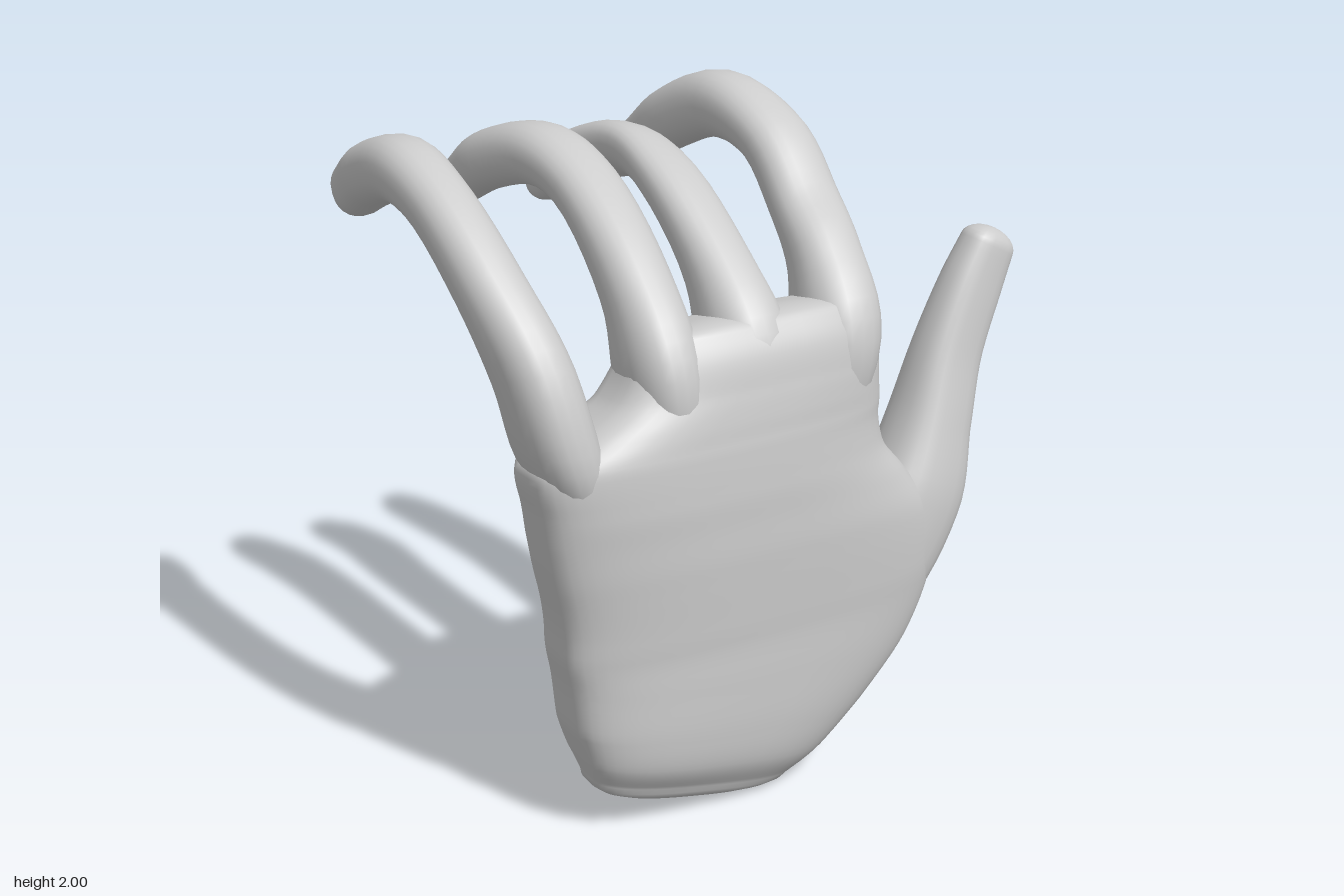
import * as THREE from 'three';

const material = new THREE.MeshStandardMaterial({ color: 0xcccccc });
const X = new THREE.Vector3(1, 0, 0);
const Z = new THREE.Vector3(0, 0, 1);

// Sweeps a rounded section through stations [x, y, z, a, b, slope]:
// a is the half size along the side axis, b across it, slope tilts the ring in y.
// n and nBack set how square the front and back halves of the section are.
function sweep(name, stations, side, { n = 2.3, nBack = n, startCap = 0.07, endCap = 0.08, sides = 24, steps = 32 } = {}) {
  const path = new THREE.CatmullRomCurve3(stations.map(s => new THREE.Vector3(s[0], s[1], s[2])));
  const size = new THREE.CatmullRomCurve3(stations.map(s => new THREE.Vector3(s[3], s[4], s[5] || 0)));

  // Rings: rounded start, body, rounded end
  const rings = [];
  const capSteps = 6;
  for (let i = capSteps; i > 0; i--) {
    const t = (i / capSteps) * Math.PI / 2;
    rings.push([0, -startCap * Math.sin(t), Math.cos(t)]);
  }
  for (let i = 0; i <= steps; i++) rings.push([i / steps, 0, 1]);
  for (let i = 1; i <= capSteps; i++) {
    const t = (i / capSteps) * Math.PI / 2;
    rings.push([1, endCap * Math.sin(t), Math.cos(t)]);
  }

  const round = (v, power) => Math.sign(v) * Math.pow(Math.abs(v), 2 / power);
  const positions = [];
  const index = [];
  rings.forEach(([u, shift, scale], i) => {
    const tangent = path.getTangent(u);
    const across = new THREE.Vector3().crossVectors(side, tangent).normalize();
    const center = path.getPoint(u).addScaledVector(tangent, shift);
    const s = size.getPoint(u);
    for (let j = 0; j < sides; j++) {
      const angle = (j / sides) * Math.PI * 2;
      const power = j > sides / 2 ? nBack : n;
      const da = s.x * scale * round(Math.cos(angle), power);
      const db = s.y * scale * round(Math.sin(angle), power);
      const p = center.clone().addScaledVector(side, da).addScaledVector(across, db);
      positions.push(p.x, p.y + s.z * da, p.z);
      if (i < rings.length - 1) {
        const k = (j + 1) % sides;
        const a = i * sides + j, b = i * sides + k;
        index.push(a, a + sides, b, b, a + sides, b + sides);
      }
    }
  });
  const geometry = new THREE.BufferGeometry();
  geometry.setAttribute('position', new THREE.Float32BufferAttribute(positions, 3));
  geometry.setIndex(index);
  geometry.computeVertexNormals();
  const mesh = new THREE.Mesh(geometry, material);
  mesh.name = name;
  return mesh;
}

export function createModel() {
  const hand = new THREE.Group();
  hand.name = 'hand';

  // Palm: slanted heel, flat back, bulge towards the thumb, step down to the little finger
  hand.add(sweep('palm', [
    [-0.275, 0.1, 0.43, 0.335, 0.105, -0.22],
    [-0.235, 0.18, 0.435, 0.405, 0.15, -0.18],
    [-0.18, 0.29, 0.435, 0.49, 0.167, -0.13],
    [-0.11, 0.44, 0.435, 0.575, 0.171, -0.08],
    [-0.075, 0.61, 0.437, 0.63, 0.173, 0],
    [-0.1, 0.8, 0.441, 0.63, 0.178, 0],
    [-0.16, 0.94, 0.441, 0.595, 0.179, 0],
    [-0.21, 1.05, 0.441, 0.56, 0.178, 0],
    [-0.22, 1.16, 0.437, 0.56, 0.175, 0],
    [-0.16, 1.23, 0.433, 0.5, 0.17, 0],
    [-0.095, 1.3, 0.427, 0.435, 0.163, 0],
    [-0.065, 1.38, 0.418, 0.405, 0.154, 0],
    [-0.06, 1.45, 0.403, 0.39, 0.13, 0],
  ], X, { n: 2.9, nBack: 4.5, endCap: 0.04, sides: 48, steps: 72 }));

  // Thumb: broad root buried in the palm
  hand.add(sweep('thumb', [
    [0.25, 0.5, 0.43, 0.1, 0.12],
    [0.4, 0.62, 0.42, 0.138, 0.165],
    [0.525, 0.82, 0.416, 0.136, 0.157],
    [0.6, 1.02, 0.393, 0.118, 0.122],
    [0.67, 1.22, 0.375, 0.092, 0.107],
    [0.755, 1.4, 0.365, 0.076, 0.1],
    [0.816, 1.515, 0.36, 0.066, 0.088],
  ], Z, { n: 2.5, endCap: 0.055 }));

  // Four fingers rising from the palm and curling to the back
  const fingers = {
    indexFinger: [
      [0.19, 1.15, 0.435, 0.09, 0.12],
      [0.222, 1.38, 0.42, 0.12, 0.152],
      [0.25, 1.56, 0.325, 0.108, 0.105],
      [0.272, 1.69, 0.185, 0.108, 0.082],
      [0.275, 1.84, 0.02, 0.106, 0.082],
      [0.24, 1.9, -0.2, 0.097, 0.1],
      [0.2, 1.82, -0.41, 0.088, 0.096],
      [0.175, 1.72, -0.55, 0.07, 0.082],
    ],
    middleFinger: [
      [-0.09, 1.15, 0.44, 0.09, 0.12],
      [-0.09, 1.38, 0.42, 0.12, 0.15],
      [-0.09, 1.56, 0.31, 0.1, 0.1],
      [-0.085, 1.765, 0.03, 0.098, 0.075, -0.15],
      [-0.082, 1.81, -0.18, 0.098, 0.08, -0.3],
      [-0.125, 1.745, -0.4, 0.092, 0.082, -0.2],
      [-0.165, 1.655, -0.54, 0.066, 0.07],
    ],
    ringFinger: [
      [-0.35, 1.12, 0.44, 0.08, 0.12],
      [-0.37, 1.36, 0.425, 0.105, 0.152],
      [-0.365, 1.56, 0.315, 0.1, 0.105],
      [-0.36, 1.79, 0.02, 0.1, 0.08],
      [-0.385, 1.84, -0.18, 0.1, 0.09],
      [-0.44, 1.78, -0.4, 0.085, 0.088],
      [-0.465, 1.7, -0.52, 0.066, 0.074],
    ],
    littleFinger: [
      [-0.62, 1.0, 0.43, 0.07, 0.11],
      [-0.69, 1.2, 0.43, 0.105, 0.153],
      [-0.74, 1.42, 0.395, 0.102, 0.132],
      [-0.78, 1.61, 0.26, 0.095, 0.1],
      [-0.805, 1.8, 0.01, 0.092, 0.088],
      [-0.815, 1.855, -0.18, 0.096, 0.095],
      [-0.815, 1.8, -0.38, 0.094, 0.095],
      [-0.815, 1.73, -0.5, 0.08, 0.085],
    ],
  };
  for (const [name, stations] of Object.entries(fingers)) hand.add(sweep(name, stations, X));

  return hand;
}
